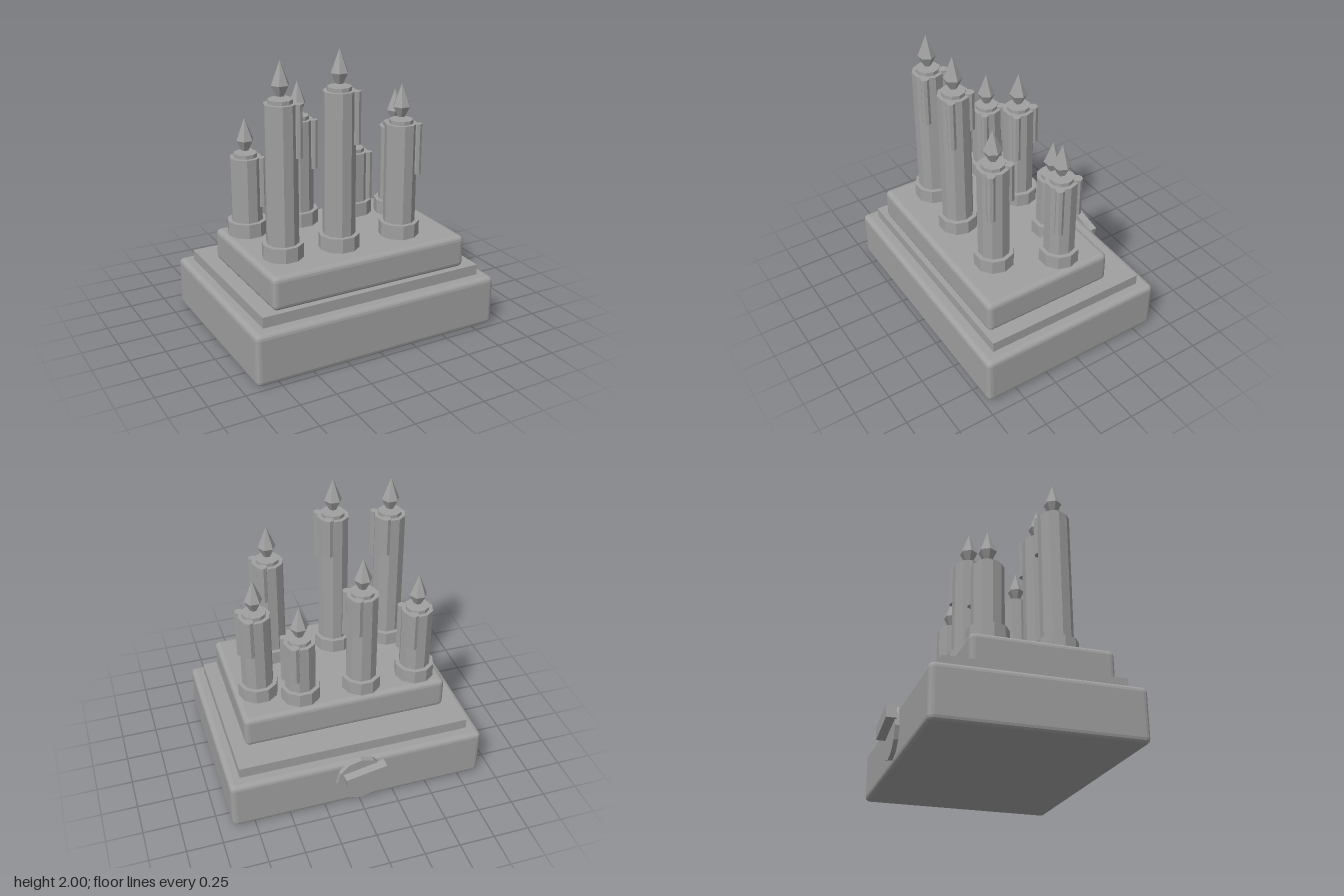
import * as THREE from 'three';
import { RoundedBoxGeometry } from 'three/addons/geometries/RoundedBoxGeometry.js';

const grey = new THREE.MeshStandardMaterial({ color: 0xa0a0a0, flatShading: true });
grey.name = 'plain grey';

function add(parent, name, geometry, x = 0, y = 0, z = 0) {
  const mesh = new THREE.Mesh(geometry, grey);
  mesh.name = name;
  mesh.position.set(x, y, z);
  parent.add(mesh);
  return mesh;
}

// Upright prism with corners on the x axis, standing on y = 0
function prism(radius, height, sides) {
  return new THREE.CylinderGeometry(radius, radius, height, sides)
    .rotateY(Math.PI / 2).translate(0, height / 2, 0);
}

const DECK = 0.66;

// One candle whose flame tip reaches the height tip
function makeCandle(x, z, tip) {
  const candle = new THREE.Group();
  candle.name = 'candle';
  candle.position.set(x, 0, z);
  const bodyTop = tip - 0.27;

  add(candle, 'candleSocket', prism(0.139, 0.1, 10), 0, DECK, 0);
  add(candle, 'candleBody', prism(0.109, bodyTop - DECK, 10), 0, DECK, 0);
  add(candle, 'candleRim', prism(0.081, 0.026, 10), 0, bodyTop, 0);

  // Wax runs down the side
  add(candle, 'longDrip', prism(0.029, 0.35, 8), 0.087, bodyTop - 0.35, 0.071);
  add(candle, 'shortDrip', prism(0.034, 0.28, 8), 0.057, bodyTop - 0.265, -0.084);

  // Faceted flame hovering just above the rim
  const profile = [[0, 0], [0.027, 0], [0.062, 0.07], [0, 0.225]]
    .map(([r, y]) => new THREE.Vector2(r, y));
  const flame = new THREE.LatheGeometry(profile, 6).rotateY(Math.PI / 2);
  add(candle, 'flame', flame, 0, tip - 0.225, 0);
  return candle;
}

export function createModel() {
  const model = new THREE.Group();
  model.name = 'candleStand';

  // Stepped base
  add(model, 'base', new RoundedBoxGeometry(1.81, 0.36, 1.36, 2, 0.035), 0, 0.18, 0.04);
  add(model, 'middleStep', new THREE.BoxGeometry(1.64, 0.08, 1.18), 0, 0.395, 0.04);
  add(model, 'upperStep', new RoundedBoxGeometry(1.45, 0.23, 0.95, 2, 0.035), 0, 0.545, 0.125);

  // Winding key on the back
  const dial = new THREE.CylinderGeometry(0.175, 0.175, 0.04, 12).rotateX(Math.PI / 2);
  add(model, 'keyDial', dial, 0, 0.215, -0.65);
  const grip = add(model, 'keyGrip', new THREE.BoxGeometry(0.296, 0.092, 0.07), -0.025, 0.275, -0.695);
  grip.rotation.z = -0.2;

  // Candles: x, z, flame tip height
  const candles = [
    [-0.55, -0.185, 1.48], [-0.15, -0.195, 1.685], [0.285, -0.185, 1.39], [0.555, -0.06, 1.575],
    [-0.513, 0.297, 1.96], [-0.113, 0.33, 2.0], [0.357, 0.33, 1.72],
  ];
  for (const [x, z, tip] of candles) model.add(makeCandle(x, z, tip));

  return model;
}
